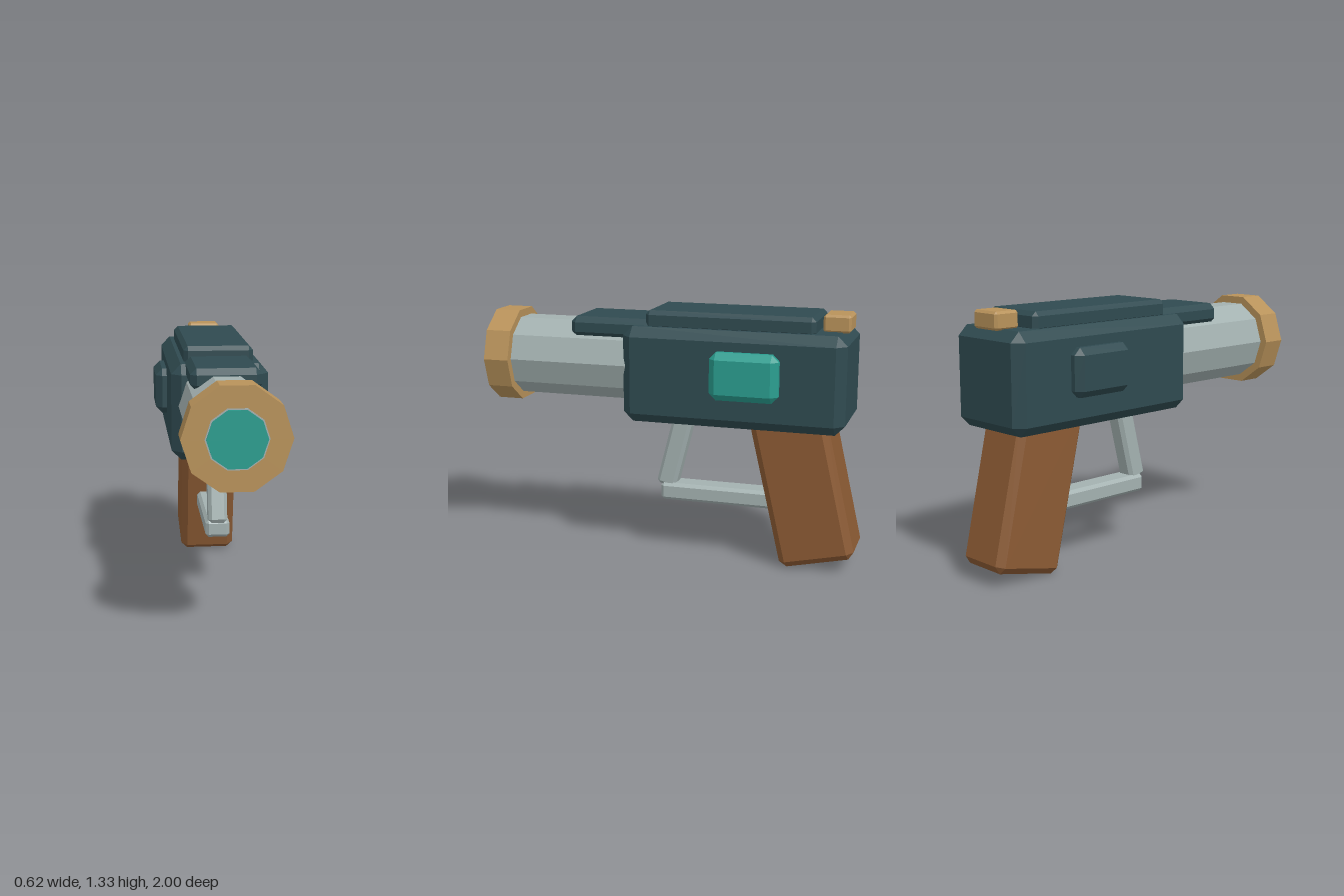
import * as THREE from 'three';
import { ConvexGeometry } from 'three/addons/geometries/ConvexGeometry.js';

const paint = (name, color) => {
  const m = new THREE.MeshStandardMaterial({ color });
  m.name = name;
  return m;
};

// Box with every edge cut at 45 degrees
function chamferBox(w, h, d, c) {
  const points = [];
  for (const x of [-1, 1]) for (const y of [-1, 1]) for (const z of [-1, 1]) {
    const [a, b, e] = [w / 2, h / 2, d / 2];
    points.push(
      new THREE.Vector3(x * a, y * (b - c), z * (e - c)),
      new THREE.Vector3(x * (a - c), y * b, z * (e - c)),
      new THREE.Vector3(x * (a - c), y * (b - c), z * e));
  }
  return new ConvexGeometry(points);
}

// Ten-sided cylinder along z, with a flat on top
function decagon(radius, z0, z1) {
  const g = new THREE.CylinderGeometry(radius, radius, z1 - z0, 10, 1, false, Math.PI / 2).toNonIndexed();
  g.rotateX(Math.PI / 2);
  g.translate(0, 1.04, (z0 + z1) / 2);
  g.computeVertexNormals();
  return g;
}

export function createModel() {
  const model = new THREE.Group();
  const dark = paint('dark slate', 0x2f4a50);
  const teal = paint('teal', 0x2a9d8f);
  const brown = paint('brown', 0x8b5a33);
  const steel = paint('pale steel', 0xa3b1b0);
  const gold = paint('brass', 0xb8925a);

  const add = (name, geometry, material) => {
    const mesh = new THREE.Mesh(geometry, material);
    mesh.name = name;
    model.add(mesh);
    return mesh;
  };
  const block = (name, material, size, pos, chamfer, tilt = 0) => {
    const mesh = add(name, chamferBox(...size, chamfer), material);
    mesh.position.set(...pos);
    mesh.rotation.x = THREE.MathUtils.degToRad(tilt);
  };

  // Body and top pieces
  block('body', dark, [0.5, 0.5, 1.16], [0, 1.0, -0.36], 0.05);
  block('topPlate', dark, [0.36, 0.1, 0.885], [0, 1.28, -0.333], 0.022);
  block('barrelShroud', dark, [0.35, 0.11, 0.5], [0, 1.225, 0.275], 0.03);
  block('rearSight', gold, [0.175, 0.09, 0.14], [0, 1.29, -0.865], 0.012);

  // Side panels, only the left one is lit
  for (const [name, side, material] of [['leftPanel', 1, teal], ['rightPanel', -1, dark]])
    block(name, material, [0.12, 0.245, 0.355], [side * 0.25, 1.03, -0.437], 0.035);

  // Barrel and muzzle
  add('barrel', decagon(0.215, 0.1, 0.9), steel);
  add('muzzleRing', decagon(0.256, 0.853, 0.99), gold);
  add('lensRim', decagon(0.148, 0.95, 0.994), steel);
  add('lens', decagon(0.141, 0.96, 1.0), teal);

  // Grip and trigger guard
  block('grip', brown, [0.308, 0.88, 0.4], [0, 0.466, -0.711], 0.035, 13);
  block('guardStrut', steel, [0.102, 0.5, 0.108], [0, 0.605, -0.02], 0.018, -14.3);
  block('guardBar', steel, [0.13, 0.095, 0.7], [0, 0.333, -0.285], 0.017);

  return model;
}
